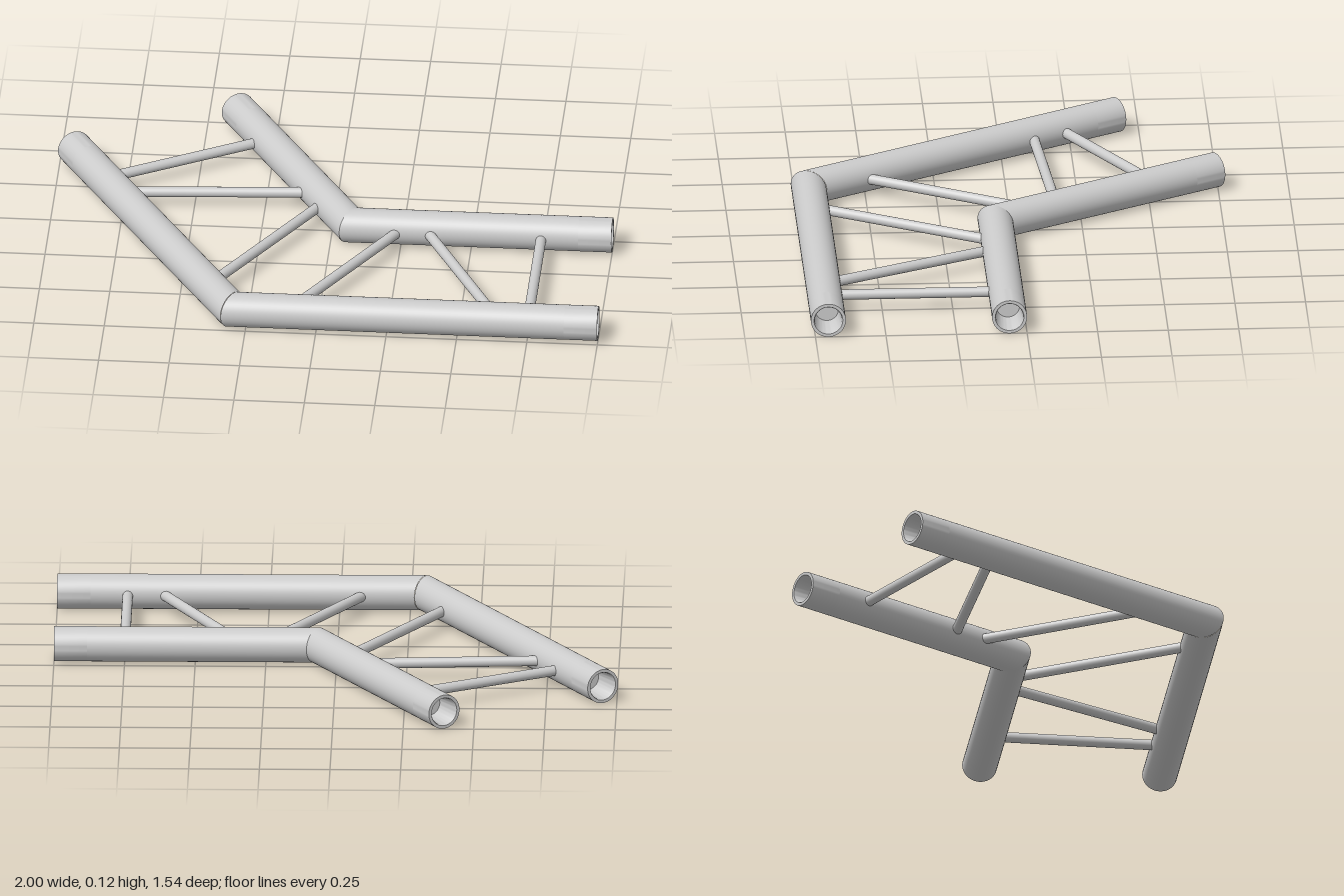
import * as THREE from 'three';
import { toCreasedNormals } from 'three/addons/utils/BufferGeometryUtils.js';

const R = 0.062;            // chord tube radius
const BRACE_R = 0.0185;
const COUPLER = 0.118;      // length of the end couplers
const INNER = { x: 0.07, z: 0.062 };   // chord corner points
const OUTER = { x: -0.3, z: 0.704 };
const END = 1;

const material = new THREE.MeshStandardMaterial({ color: 0xcccccc });

function add(parent, name, geometry) {
  const mesh = new THREE.Mesh(geometry, material);
  mesh.name = name;
  parent.add(mesh);
  return mesh;
}

// Tube along +x whose start is cut on the mitre plane of the 120 degree corner
function mitredTube(length) {
  const g = new THREE.CylinderGeometry(R, R, length, 48, 1, true);
  g.rotateZ(-Math.PI / 2).translate(length / 2, 0, 0);
  const p = g.attributes.position;
  for (let i = 0; i < p.count; i++) {
    if (p.getX(i) < length / 2) p.setX(i, -p.getZ(i) * Math.tan(Math.PI / 6));
  }
  return g;
}

// End sleeve with a chamfered, slightly tapered blind bore
function couplerGeometry() {
  const profile = [
    [R, 0], [R, COUPLER], [0.051, COUPLER], [0.048, COUPLER - 0.006],
    [0.041, 0.012], [0, 0.012],
  ].map(([r, y]) => new THREE.Vector2(r, y));
  const g = toCreasedNormals(new THREE.LatheGeometry(profile, 48), 0.5);
  return g.rotateZ(-Math.PI / 2);
}

// Round bar between two points in the plane of the frame
function brace(parent, name, x0, z0, x1, z1) {
  const a = new THREE.Vector3(x0, R, z0);
  const b = new THREE.Vector3(x1, R, z1);
  const dir = b.clone().sub(a);
  const mesh = add(parent, name, new THREE.CylinderGeometry(BRACE_R, BRACE_R, dir.length(), 24));
  mesh.position.copy(a).lerp(b, 0.5);
  mesh.quaternion.setFromUnitVectors(new THREE.Vector3(0, 1, 0), dir.normalize());
}

function buildArm(name) {
  const arm = new THREE.Group();
  arm.name = name;

  // Two parallel chords, each ending in a coupler
  for (const [label, corner] of [['inner', INNER], ['outer', OUTER]]) {
    const length = END - COUPLER - corner.x;
    add(arm, label + 'Chord', mitredTube(length)).position.set(corner.x, R, corner.z);
    add(arm, label + 'Coupler', couplerGeometry()).position.set(END - COUPLER, R, corner.z);
  }

  // Braces given by x where they meet the chord faces, run on into the tubes
  const zIn = INNER.z + R, zOut = OUTER.z - R, sink = 0.03;
  const braces = [
    ['endRung', 0.75, 0.75],
    ['middleDiagonal', 0.36, 0.613],
    ['cornerDiagonal', 0.228, -0.07],
  ];
  for (const [label, xIn, xOut] of braces) {
    const dx = (xOut - xIn) / (zOut - zIn) * sink;
    brace(arm, label, xIn - dx, zIn - sink, xOut + dx, zOut + sink);
  }
  return arm;
}

export function createModel() {
  const model = new THREE.Group();
  model.name = 'cornerTruss';
  model.add(buildArm('leftArm'));

  // Second arm: the first one turned half a turn about the corner bisector
  const pivot = new THREE.Group();
  pivot.name = 'rearArmPivot';
  pivot.position.set(INNER.x, R, INNER.z);
  pivot.quaternion.setFromAxisAngle(new THREE.Vector3(0.5, 0, -Math.sqrt(3) / 2), Math.PI);
  const rear = buildArm('rearArm');
  rear.position.set(-INNER.x, -R, -INNER.z);
  pivot.add(rear);
  model.add(pivot);
  return model;
}
